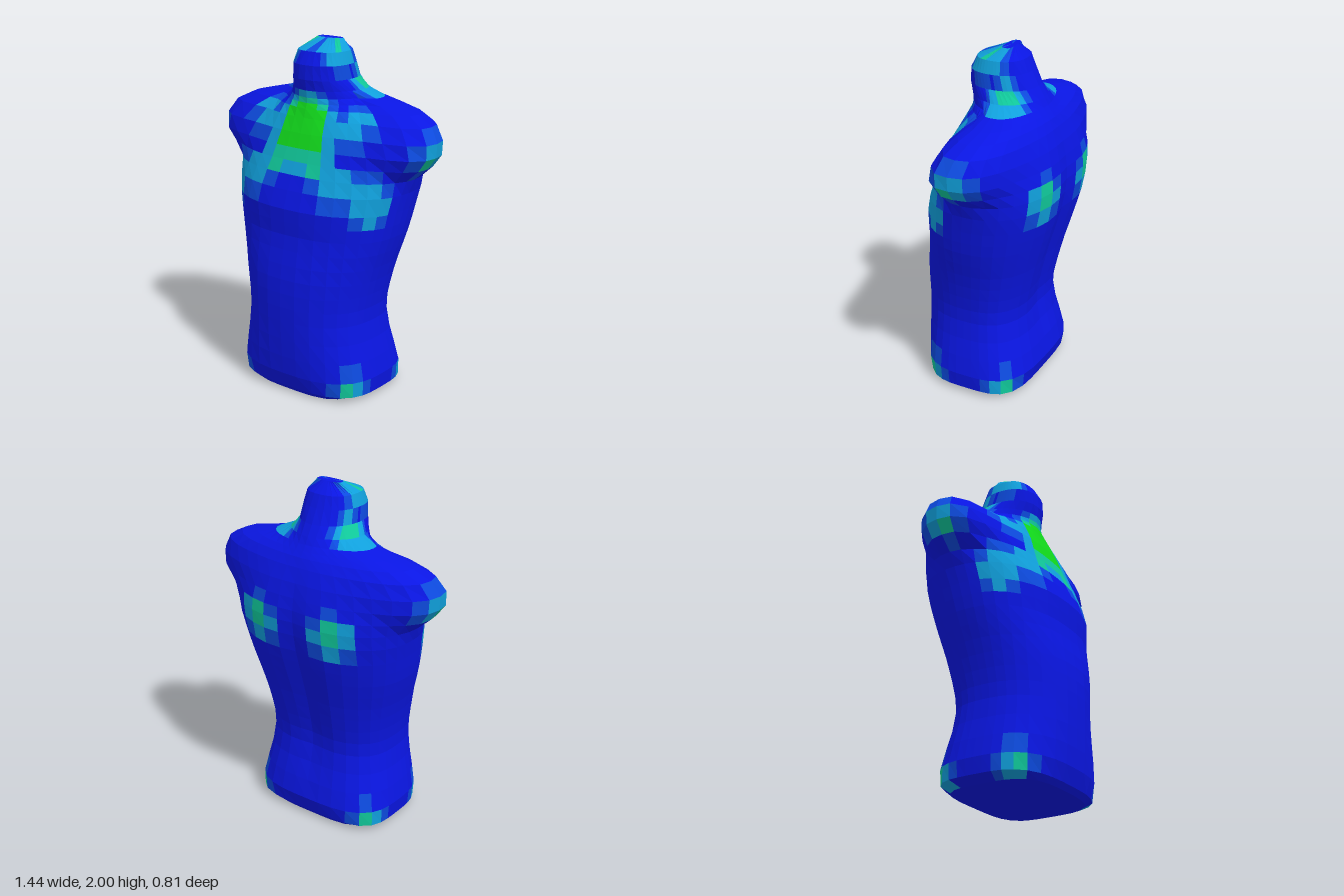
import * as THREE from 'three';

const SIDES = 36;

// Trunk sections: height, half width, front z, back z, z of the middle, front and back roundness
const TRUNK = [
  [0, 0.36, 0.33, -0.25, 0.03, 3.4, 4],
  [0.03, 0.435, 0.355, -0.275, 0.03, 3.2, 4],
  [0.12, 0.445, 0.385, -0.3, 0.03, 2.8, 3.2],
  [0.45, 0.395, 0.405, -0.24, 0.05, 2.4, 2.8],
  [0.7, 0.43, 0.4, -0.285, 0.03, 2.4, 2.6],
  [0.95, 0.5, 0.36, -0.355, 0, 2.4, 2.5],
  [1.1, 0.53, 0.365, -0.395, -0.02, 2.3, 2.5],
  [1.2, 0.55, 0.33, -0.41, -0.04, 2.4, 2.5],
  [1.28, 0.56, 0.295, -0.415, -0.05, 2.4, 2.5],
  [1.35, 0.56, 0.265, -0.41, -0.05, 2.4, 2.5],
  [1.42, 0.54, 0.24, -0.395, -0.05, 2.3, 2.4],
  [1.5, 0.52, 0.215, -0.37, -0.05, 2.1, 2.3],
  [1.58, 0.46, 0.185, -0.335, -0.07, 1.9, 2.2],
  [1.63, 0.37, 0.17, -0.31, -0.09, 1.8, 2],
  [1.66, 0.3, 0.16, -0.29, -0.1, 1.8, 1.9],
  [1.69, 0.25, 0.16, -0.27, -0.09, 1.8, 1.9],
  [1.73, 0.215, 0.165, -0.25, -0.06, 1.9, 1.9],
  [1.79, 0.175, 0.175, -0.215, -0.02, 2.2, 2.1],
  [1.87, 0.165, 0.17, -0.175, 0, 2.3, 2.3],
  [1.94, 0.145, 0.13, -0.145, 0, 2.5, 2.5],
  [2, 0.08, -0.02, -0.08, -0.05, 3.5, 3.5],
];

// Shoulder and arm stump sections: height, half width, front z, back z
const SHOULDERS = [
  [1.2, 0.45, 0.04, -0.2],
  [1.28, 0.555, 0.09, -0.26],
  [1.35, 0.66, 0.165, -0.32],
  [1.42, 0.715, 0.185, -0.345],
  [1.5, 0.72, 0.16, -0.345],
  [1.58, 0.67, 0.11, -0.325],
  [1.63, 0.57, 0.06, -0.3],
  [1.66, 0.45, 0.02, -0.275],
  [1.69, 0.32, 0.0, -0.25],
  [1.73, 0.21, 0.0, -0.21],
];

// Bright patches, mirrored in x: x, y, z, strength, radius
const PATCHES = [
  [0, 1.53, 0.2, 1.5, 0.23],
  [0.13, 1.33, 0.25, 0.85, 0.13],
  [0.28, 1.25, 0.27, 0.6, 0.14],
  [0.43, 1.17, 0.2, 0.6, 0.17],
  [0.3, 1.55, 0.12, 0.6, 0.13],
  [0.69, 1.42, -0.04, 0.75, 0.14],
  [0.39, 0.07, 0.25, 0.7, 0.12],
  [0.39, 0.07, -0.2, 0.75, 0.12],
  [0.2, 1.75, -0.12, 0.85, 0.13],
  [0.11, 1.93, 0.03, 0.75, 0.13],
  [0.25, 1.25, -0.39, 0.85, 0.15],
];
const SHADES = [0x0a16e4, 0x0d4be0, 0x10a0dc, 0x10c89a, 0x12dc1c];
const NAMES = ['torsoSkin', 'lightBluePatches', 'cyanPatches', 'tealPatches', 'greenPatches'];

// Smooth blend between trunk sections i and i + 1
function blend(i, f) {
  const a = TRUNK[i], b = TRUNK[i + 1], h = b[0] - a[0];
  const slope = (k, c) => {
    const p = TRUNK[Math.max(k - 1, 0)], n = TRUNK[Math.min(k + 1, TRUNK.length - 1)];
    return (n[c] - p[c]) / (n[0] - p[0]);
  };
  const f2 = f * f, f3 = f2 * f;
  return a.map((v, c) => c === 0 ? v + h * f :
    (2 * f3 - 3 * f2 + 1) * v + (3 * f2 - 2 * f3) * b[c] +
    h * ((f3 - 2 * f2 + f) * slope(i, c) + (f3 - f2) * slope(i + 1, c)));
}

// Distance from the middle to a superellipse in the direction (c, s)
const reach = (c, s, w, d, n) => ((Math.abs(c) / w) ** n + (Math.abs(s) / d) ** n) ** (-1 / n);

// One horizontal ring: the trunk joined with the shoulders, and a shallow groove along the spine
function ring([y, w, zf, zb, zc, nf, nb]) {
  const shoulder = SHOULDERS.find((r) => Math.abs(r[0] - y) < 0.001);
  return Array.from({ length: SIDES }, (_, j) => {
    const t = (j / SIDES) * Math.PI * 2;
    const angle = Math.atan2(0.65 * Math.sin(t), Math.cos(t));
    const c = Math.cos(angle), s = Math.sin(angle), front = s >= 0;
    let r = reach(c, s, w, front ? zf - zc : zc - zb, front ? nf : nb);
    if (shoulder) {
      const depth = front ? shoulder[2] - zc : zc - shoulder[3];
      const lobe = reach(c, s, shoulder[1], depth, front ? 3 : 2.3);
      r = (r ** 16 + lobe ** 16) ** (1 / 16);
    }
    const x = r * c;
    let z = zc + r * s;
    if (!front && y > 0.15 && y < 1.65) {
      z += 0.03 * Math.exp(-((x / 0.1) ** 2)) * Math.sin(((y - 0.15) / 1.5) * Math.PI);
    }
    return new THREE.Vector3(x, y, z);
  });
}

// A ring drawn in towards its middle, for the closed ends
function shrink(points, f) {
  const mid = points.reduce((m, p) => m.add(p), new THREE.Vector3()).divideScalar(points.length);
  return points.map((p) => p.clone().lerp(mid, f));
}

// Shade number of a face from its distance to the bright patches
function shadeAt(p) {
  let v = 0;
  for (const [x, y, z, strength, radius] of PATCHES) {
    const d = Math.hypot(Math.abs(p.x) - x, p.y - y, p.z - z);
    v = Math.max(v, strength * (1 - (d / radius) ** 2));
  }
  return v > 0.9 ? 4 : v > 0.65 ? 3 : v > 0.3 ? 2 : v > 0.05 ? 1 : 0;
}

export function createModel() {
  const model = new THREE.Group();
  model.name = 'torso';

  // Rings from the hips to the top of the neck
  const rings = [];
  for (let i = 0; i < TRUNK.length - 1; i++) {
    const steps = Math.ceil((TRUNK[i + 1][0] - TRUNK[i][0]) / 0.11);
    for (let k = 0; k < steps; k++) rings.push(ring(blend(i, k / steps)));
  }
  rings.push(ring(TRUNK[TRUNK.length - 1]));
  const bottom = rings[0], top = rings[rings.length - 1];
  rings.unshift(shrink(bottom, 1), shrink(bottom, 0.5));
  rings.push(shrink(top, 1));

  // Faces sorted by shade
  const buckets = SHADES.map(() => []);
  for (let i = 0; i < rings.length - 1; i++) {
    for (let j = 0; j < SIDES; j++) {
      const k = (j + 1) % SIDES;
      const a = rings[i][j], b = rings[i][k], c = rings[i + 1][k], d = rings[i + 1][j];
      const mid = a.clone().add(b).add(c).add(d).multiplyScalar(0.25);
      const out = buckets[mid.y < 0.001 ? 0 : shadeAt(mid)];
      if (d.distanceTo(c) > 1e-6) out.push(a, d, c);
      if (a.distanceTo(b) > 1e-6) out.push(a, c, b);
    }
  }

  buckets.forEach((points, i) => {
    const geometry = new THREE.BufferGeometry().setFromPoints(points);
    geometry.computeVertexNormals();
    const material = new THREE.MeshStandardMaterial({ color: SHADES[i], flatShading: true });
    const mesh = new THREE.Mesh(geometry, material);
    mesh.name = NAMES[i];
    model.add(mesh);
  });
  return model;
}
